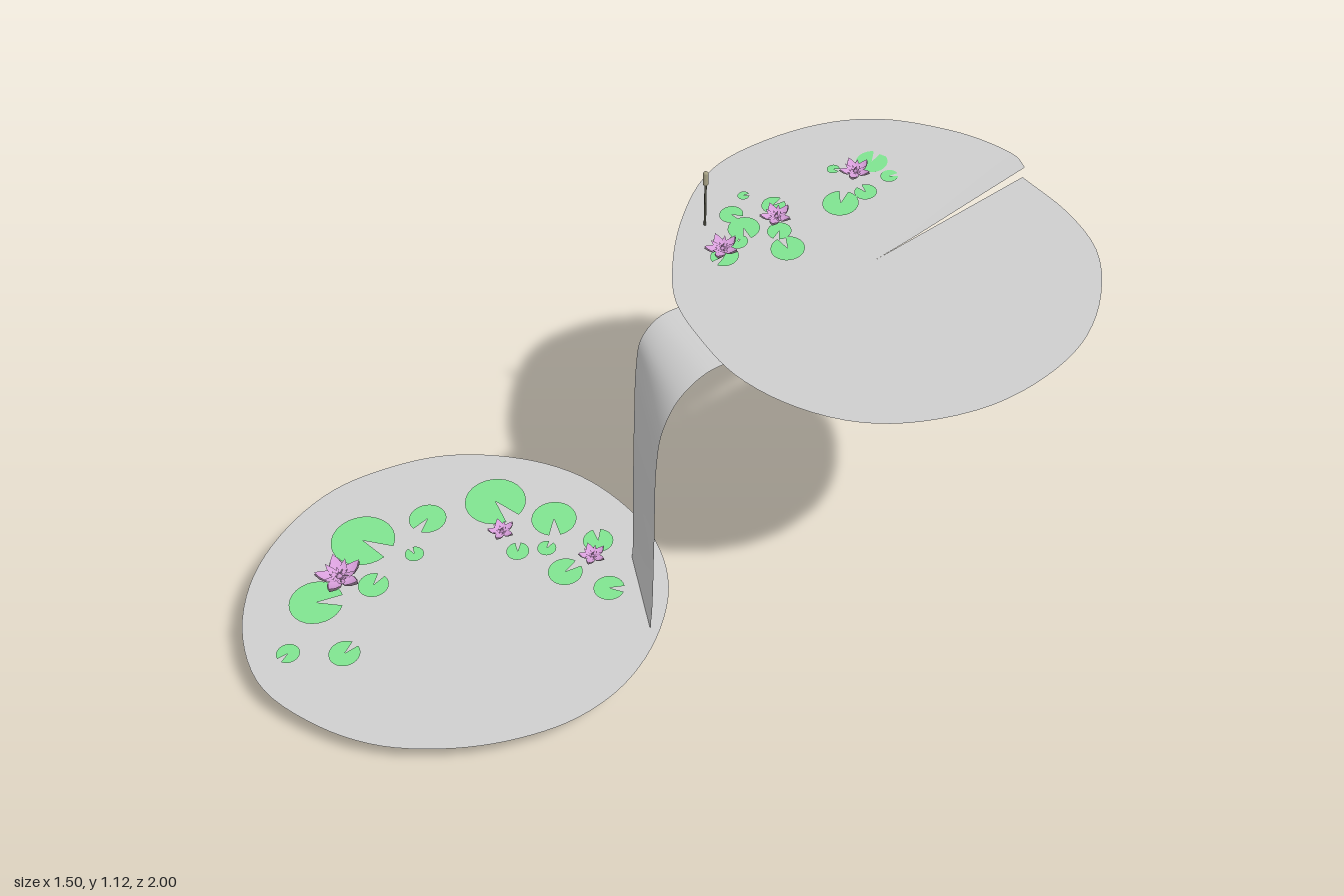
import * as THREE from 'three';

const mat = (color) => new THREE.MeshStandardMaterial({ color, side: THREE.DoubleSide });
const grey = mat(0xcccccc), green = mat(0x7ee08e), pink = mat(0xd9a0dc), dark = mat(0x6a5a68);
const stemMat = mat(0x555548), headMat = mat(0xa8a285);

// Tilted planes on which the two ponds lie
const lowerY = (x, z) => 0.131 - 0.108 * (x + 0.24) - 0.11 * (z - 0.47);
const upperY = (x, z) => 0.976 - 0.1 * (x - 0.2) - 0.216 * (z + 0.52);
const lowerUp = new THREE.Vector3(0.108, 1, 0.11).normalize();
const upperUp = new THREE.Vector3(0.1, 1, 0.216).normalize();

// Grid surface from a rule (u, v) -> [x, y, z]
function surface(nu, nv, rule) {
  const pos = [], idx = [];
  for (let i = 0; i <= nu; i++) for (let j = 0; j <= nv; j++) pos.push(...rule(i / nu, j / nv));
  for (let i = 0; i < nu; i++) for (let j = 0; j < nv; j++) {
    const a = i * (nv + 1) + j, b = a + nv + 1;
    idx.push(a, a + 1, b, b, a + 1, b + 1);
  }
  const g = new THREE.BufferGeometry();
  g.setAttribute('position', new THREE.Float32BufferAttribute(pos, 3));
  g.setIndex(idx);
  g.computeVertexNormals();
  return g;
}

function add(parent, name, geometry, material) {
  const m = new THREE.Mesh(geometry, material);
  m.name = name;
  parent.add(m);
  return m;
}

const curve = (pts, closed = false) =>
  new THREE.CatmullRomCurve3(pts.map((p) => new THREE.Vector3(p[0], p[1], p[2] ?? 0)), closed);

// Pond sheet: outline in (x, z) drawn towards its centre; lift raises part of the rim
function pond(outline, closed, cx, cz, height, lift = () => 0) {
  const c = curve(outline, closed);
  return surface(96, 8, (u, v) => {
    const p = c.getPoint(u), s = Math.max(1 - v, 0.0005);
    const x = cx + (p.x - cx) * s, z = cz + (p.y - cz) * s;
    return [x, height(x, z) + lift(u, s), z];
  });
}

// Pointed petal, rising and folded along its middle
function petalGeometry(r, rise, w) {
  return surface(4, 2, (u, v) => {
    const side = (v - 0.5) * 2;
    const half = w * r * Math.sin(Math.PI * (0.12 + 0.88 * u));
    return [r * (0.1 + 0.9 * u), rise * r * u * u + 0.12 * r * Math.abs(side) * (1 - u), side * half];
  });
}

function flower(r) {
  const g = new THREE.Group();
  g.name = 'waterLily';
  const layers = [[1, 0.25, 0.3, 0, dark], [0.97, 0.4, 0.27, 0, pink], [0.7, 0.55, 0.22, 0.63, pink], [0.4, 0.6, 0.16, 0, pink]];
  for (const [size, rise, w, turn, m] of layers) {
    for (let i = 0; i < 5; i++) {
      add(g, 'petal', petalGeometry(r * size, rise, w), m).rotation.y = Math.PI / 2 + turn + i * Math.PI * 0.4;
    }
  }
  add(g, 'flowerCentre', new THREE.ConeGeometry(r * 0.15, r * 0.4, 8), pink).position.y = r * 0.2;
  return g;
}

// Notched pads [x, z, radius, notch angle] and flowers [x, z, radius] laid on a pond
function plant(parent, pads, flowers, height, up, lift) {
  const tilt = new THREE.Quaternion().setFromUnitVectors(new THREE.Vector3(0, 1, 0), up);
  for (const [x, z, r, a] of pads) {
    const g = new THREE.CircleGeometry(r, 24, a + 0.25, Math.PI * 2 - 0.5).rotateX(-Math.PI / 2);
    const m = add(parent, 'lilyPad', g, green);
    m.position.set(x, height(x, z) + lift, z);
    m.quaternion.copy(tilt);
  }
  for (const [x, z, r] of flowers) {
    const f = flower(r);
    f.position.set(x, height(x, z) + lift + 0.002, z);
    f.quaternion.copy(tilt);
    parent.add(f);
  }
}

export function createModel() {
  const model = new THREE.Group();
  model.name = 'lilyPondWaterfall';

  // Lower pond
  const lower = new THREE.Group();
  lower.name = 'lowerPondGroup';
  model.add(lower);
  add(lower, 'lowerPond', pond([
    [-0.2, -0.065], [-0.05, -0.05], [0.09, 0.02], [0.2, 0.15], [0.26, 0.3], [0.265, 0.45], [0.22, 0.6],
    [0.14, 0.74], [0.02, 0.87], [-0.13, 0.955], [-0.31, 0.997], [-0.48, 0.95], [-0.62, 0.84],
    [-0.71, 0.69], [-0.75, 0.52], [-0.73, 0.37], [-0.66, 0.2], [-0.52, 0.05], [-0.37, -0.035],
  ], true, -0.24, 0.47, lowerY), grey);
  plant(lower, [
    [-0.43, 0.2, 0.082, 0], [-0.28, 0.115, 0.06, -0.6], [-0.145, 0.07, 0.04, 2.6], [-0.115, 0.2, 0.045, 1.6],
    [0, 0.145, 0.04, 0.8], [-0.21, 0.19, 0.025, 2], [-0.25, 0.255, 0.03, 2.5], [-0.495, 0.375, 0.05, -1.2],
    [-0.415, 0.47, 0.025, 3], [-0.54, 0.55, 0.085, 0.4], [-0.395, 0.61, 0.04, 2], [-0.44, 0.755, 0.07, 1],
    [-0.255, 0.785, 0.04, 1.8], [-0.345, 0.895, 0.03, -1.4],
  ], [[-0.11, 0.115, 0.038], [-0.33, 0.25, 0.038], [-0.47, 0.665, 0.065]], lowerY, lowerUp, 0.008);

  // Upper pond, with a slit at the back whose one side is raised
  const upper = new THREE.Group();
  upper.name = 'upperPondGroup';
  model.add(upper);
  add(upper, 'upperPond', pond([
    [0.25, -0.975], [0.42, -0.96], [0.56, -0.91], [0.67, -0.8], [0.73, -0.68], [0.745, -0.55], [0.72, -0.4],
    [0.64, -0.25], [0.54, -0.15], [0.4, -0.08], [0.25, -0.05], [0.12, -0.06], [-0.04, -0.1], [-0.15, -0.18],
    [-0.25, -0.29], [-0.32, -0.41], [-0.335, -0.5], [-0.3, -0.65], [-0.23, -0.78], [-0.14, -0.87],
    [-0.02, -0.94], [0.08, -0.98], [0.2, -1], [0.245, -0.985],
  ], false, 0.2, -0.52, upperY,
  (u, s) => 0.019 * THREE.MathUtils.smoothstep(u, 0.64, 0.86) * Math.max(0, (s - 0.2) / 0.8)), grey);
  plant(upper, [
    [-0.1, -0.795, 0.02, 0], [-0.05, -0.745, 0.04, 2], [0.02, -0.74, 0.022, 1], [0.02, -0.66, 0.028, 3],
    [-0.1, -0.66, 0.016, 0.5], [0.005, -0.59, 0.045, 2.2], [-0.11, -0.47, 0.03, 1.5], [-0.03, -0.42, 0.03, -1],
    [0.03, -0.395, 0.042, 2.8], [-0.16, -0.375, 0.03, 0.3], [-0.19, -0.44, 0.015, 1], [-0.1, -0.365, 0.04, -0.5],
    [-0.06, -0.27, 0.035, -1.5], [-0.075, -0.325, 0.025, 2],
  ], [[-0.05, -0.69, 0.042], [-0.07, -0.445, 0.042], [-0.08, -0.28, 0.045]], upperY, upperUp, 0.012);

  // Waterfall: sheet stretched between its two edge curves
  const edgeA = curve([
    [-0.1, 0.033, 0.058], [-0.065, 0.06, 0.043], [-0.05, 0.15, 0.032], [-0.045, 0.4, 0.03], [-0.037, 0.65, 0.03],
    [-0.036, 0.77, 0.025], [-0.036, 0.845, 0.01], [-0.036, 0.885, -0.04], [-0.036, 0.89, -0.11], [-0.036, 0.868, -0.21],
  ]);
  const edgeB = curve([
    [0.1, 0, 0.155], [0.145, 0.04, 0.147], [0.165, 0.13, 0.14], [0.175, 0.4, 0.136], [0.18, 0.65, 0.133],
    [0.186, 0.75, 0.12], [0.19, 0.825, 0.075], [0.195, 0.868, 0], [0.197, 0.868, -0.09], [0.197, 0.842, -0.18],
  ]);
  add(model, 'waterfall', surface(54, 6, (u, v) =>
    edgeA.getPoint(u).lerp(edgeB.getPoint(u), v).toArray()), grey);

  // Cattail reed
  const reed = new THREE.Group();
  reed.name = 'cattail';
  reed.position.set(-0.19, 0, -0.315);
  add(reed, 'reedStem', new THREE.CylinderGeometry(0.003, 0.003, 0.19, 8), stemMat).position.y = 0.995;
  add(reed, 'reedHead', new THREE.CapsuleGeometry(0.007, 0.026, 4, 10), headMat).position.y = 1.102;
  model.add(reed);

  return model;
}
